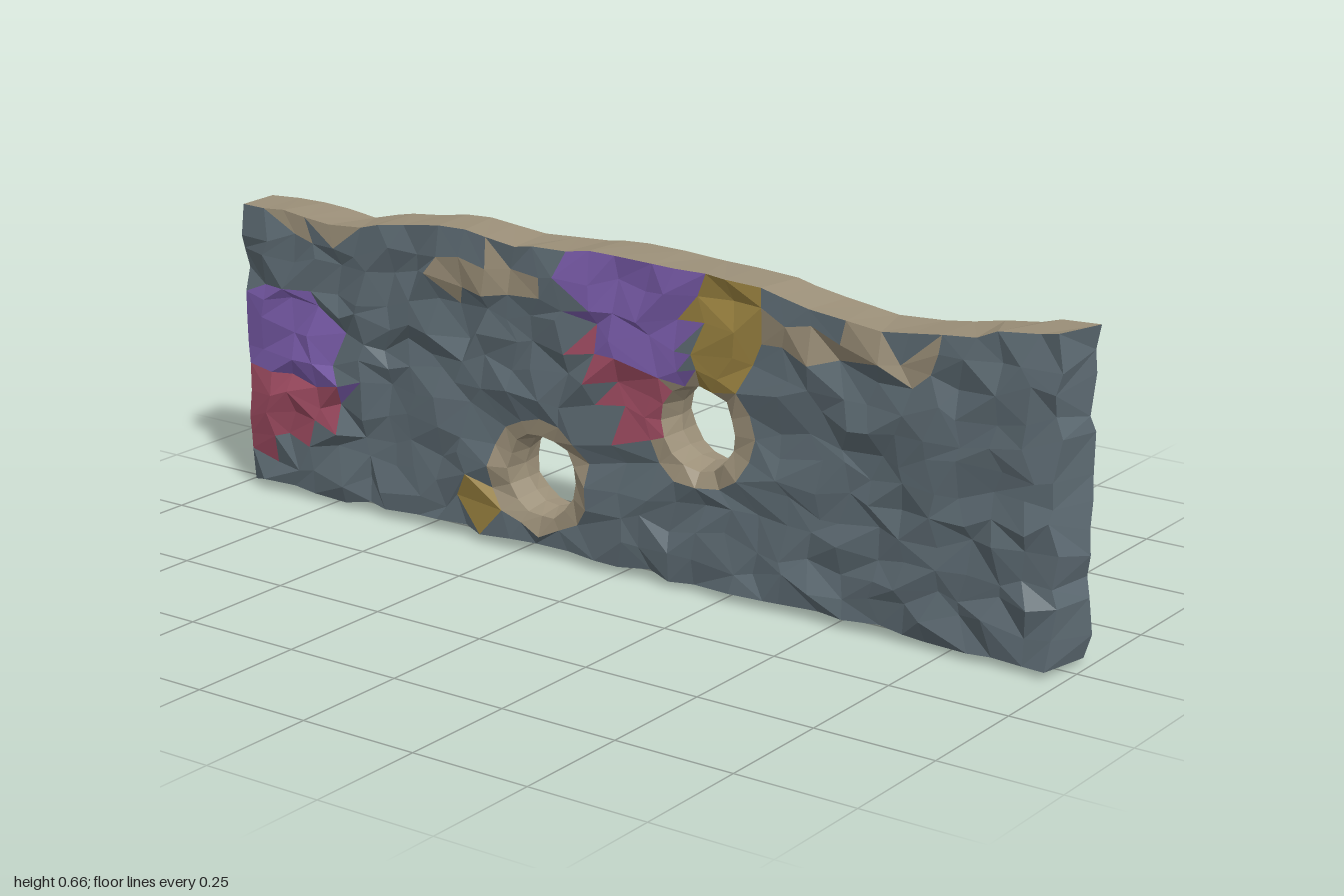
import * as THREE from 'three';

const COLS = 30, ROWS = 12;
const COLORS = {
  slate: 0x5f6d75, tan: 0x9c9079, purple: 0x7a5cab, red: 0xa04c62, gold: 0x9a8240,
};
// Round through-holes, centred on grid vertices
const HOLES = [
  { i: 12, j: 3, x: -0.194, y: 0.17, r: 0.079 },
  { i: 18, j: 6, x: 0.19, y: 0.34, r: 0.079 },
];
// Mineral patches, as x, y outlines; front: true means front face only
const PATCHES = [
  ['purple', [-0.99, 0.28, -0.96, 0.44, -0.77, 0.48, -0.75, 0.36, -0.69, 0.26]],
  ['red', [-1.02, 0.05, -0.98, 0.18, -0.93, 0.29, -0.68, 0.27, -0.70, 0.20, -0.88, 0.11]],
  ['purple', [-0.13, 0.67, -0.06, 0.43, 0.17, 0.42, 0.17, 0.67]],
  ['red', [-0.09, 0.47, 0.01, 0.29, 0.10, 0.31, 0.14, 0.48]],
  ['gold', [0.17, 0.67, 0.18, 0.42, 0.28, 0.43, 0.36, 0.67]],
  ['gold', [-0.38, 0.14, -0.35, 0.02, -0.31, 0.02, -0.31, 0.14]],
  ['gold', [-0.86, 0.48, -0.84, 0.43, -0.79, 0.43, -0.80, 0.48]],
  ['tan', [-0.47, 0.59, -0.42, 0.50, -0.34, 0.55, -0.24, 0.51, -0.15, 0.60, -0.34, 0.61], true],
  ['tan', [0.33, 0.59, 0.38, 0.51, 0.55, 0.54, 0.68, 0.50, 0.75, 0.58, 0.45, 0.59], true],
  ['tan', [-0.92, 0.63, -0.86, 0.58, -0.70, 0.59, -0.72, 0.63], true],
];
// Wavy crest line, x then height
const CREST = [-1, 0.615, -0.85, 0.622, -0.72, 0.608, -0.58, 0.63, -0.42, 0.655, -0.25, 0.637,
  -0.05, 0.653, 0.3, 0.645, 0.45, 0.622, 0.6, 0.604, 0.8, 0.627, 0.88, 0.648, 1, 0.657];

let seed = 11;
function rand(amount) {
  seed = (seed * 16807) % 2147483647;
  return (seed / 2147483647 * 2 - 1) * amount;
}

function crest(x) {
  for (let k = 0; k < CREST.length - 2; k += 2) {
    if (x <= CREST[k + 2]) {
      const t = (x - CREST[k]) / (CREST[k + 2] - CREST[k]);
      return THREE.MathUtils.lerp(CREST[k + 1], CREST[k + 3], t);
    }
  }
  return CREST[CREST.length - 1];
}

function inside(p, poly) {
  let hit = false;
  for (let a = 0, b = poly.length - 2; a < poly.length; b = a, a += 2) {
    const [x1, y1, x2, y2] = [poly[a], poly[a + 1], poly[b], poly[b + 1]];
    if ((y1 > p.y) !== (y2 > p.y) && p.x < (x2 - x1) * (p.y - y1) / (y2 - y1) + x1) hit = !hit;
  }
  return hit;
}

function patchColor(p, front, base) {
  const found = PATCHES.find(([, poly, frontOnly]) => (front || !frontOnly) && inside(p, poly));
  return found ? found[0] : base;
}

// The 16 grid vertices around a hole, as [i, j, angle]
function rim(hole) {
  return Array.from({ length: 16 }, (_, k) => {
    const a = k * Math.PI / 8;
    const step = v => THREE.MathUtils.clamp(Math.round(v * 2 * Math.SQRT2), -2, 2);
    return [hole.i + step(Math.cos(a)), hole.j + step(Math.sin(a)), a];
  });
}

// Jittered vertex grid of one broad face; side is 1 for front, -1 for back
function faceGrid(side) {
  const grid = [];
  const depth = side > 0 ? 0.06 : 0.065;
  for (let i = 0; i <= COLS; i++) {
    grid.push([]);
    for (let j = 0; j <= ROWS; j++) {
      const endEdge = i === 0 || i === COLS, rowEdge = j === 0 || j === ROWS;
      let x = -0.98 + 1.96 * i / COLS;
      const base = side > 0 ? 0.022 : 0.01;
      const y = THREE.MathUtils.lerp(base, crest(x), j / ROWS)
        + rand(j === 0 ? 0.008 : rowEdge ? 0.003 : 0.019);
      if (endEdge) x = Math.sign(x) * ((side > 0 ? 0.972 : 0.986) + rand(0.009));
      else x += rand(0.02);
      // Shallow swells under the fine chipping; edges are worn back
      const swell = 0.004 * Math.sin(7 * x + 4 * y + side);
      let z = depth + swell + rand(0.012);
      if (endEdge) z = 0.055 + rand(0.009);
      else if (j === ROWS) z = 0.058 + swell + rand(0.004);
      else if (j === 0) z = 0.058 + rand(0.008);
      grid[i].push(new THREE.Vector3(x, Math.max(y, 0), side * z));
    }
  }
  // Pull the vertices around each hole into a rough collar
  for (const h of HOLES) {
    for (const [i, j, a] of rim(h)) {
      const r = 0.126 + rand(0.009);
      grid[i][j].set(h.x + r * Math.cos(a), h.y + r * 0.95 * Math.sin(a), side * (depth + rand(0.009)));
    }
  }
  return grid;
}

export function createModel() {
  const group = new THREE.Group();
  group.name = 'rockSlab';
  const buckets = {};
  for (const name in COLORS) buckets[name] = [];

  function tri(a, b, c, color) {
    for (const p of [a, b, c]) buckets[color].push(p.x, p.y, p.z);
  }
  function quad(a, b, c, d, color, flip = false) {
    const pick = typeof color === 'function' ? color : () => color;
    const add = (p, q, r) => {
      const mid = new THREE.Vector3().add(p).add(q).add(r).divideScalar(3);
      if (flip) tri(p, r, q, pick(mid));
      else tri(p, q, r, pick(mid));
    };
    if (rand(1) > 0) { add(a, b, c); add(a, c, d); }
    else { add(a, b, d); add(b, c, d); }
  }

  const front = faceGrid(1), back = faceGrid(-1);
  // Narrowest ring of each hole, halfway through the slab
  const throats = HOLES.map(h => rim(h).map(([, , a]) => new THREE.Vector3(
    h.x + h.r * Math.cos(a), h.y + h.r * Math.sin(a), rand(0.006))));

  // Broad faces, with a collar and a flared wall at each hole
  for (const [grid, side] of [[front, 1], [back, -1]]) {
    const faceColor = p => patchColor(p, side > 0, 'slate');
    for (let i = 0; i < COLS; i++) {
      for (let j = 0; j < ROWS; j++) {
        if (HOLES.some(h => Math.abs(i + 0.5 - h.i) < 2 && Math.abs(j + 0.5 - h.j) < 2)) continue;
        quad(grid[i][j], grid[i + 1][j], grid[i + 1][j + 1], grid[i][j + 1], faceColor, side < 0);
      }
    }
    HOLES.forEach((h, m) => {
      const outer = rim(h);
      const mouth = outer.map(([, , a]) => {
        const r = h.r + 0.008 + rand(0.004);
        return new THREE.Vector3(h.x + r * Math.cos(a), h.y + r * Math.sin(a), side * (0.053 + rand(0.005)));
      });
      const collarColor = p => side > 0 ? patchColor(p, true, 'tan') : 'tan';
      for (let k = 0; k < 16; k++) {
        const n = (k + 1) % 16;
        const p = grid[outer[k][0]][outer[k][1]], q = grid[outer[n][0]][outer[n][1]];
        quad(mouth[k], p, q, mouth[n], collarColor, side < 0);
        quad(throats[m][k], mouth[k], mouth[n], throats[m][n], 'tan', side < 0);
      }
    });
  }

  // Tan crest, slate underside and ends
  for (let i = 0; i < COLS; i++) {
    quad(front[i][ROWS], front[i + 1][ROWS], back[i + 1][ROWS], back[i][ROWS], 'tan');
    quad(front[i][0], front[i + 1][0], back[i + 1][0], back[i][0], 'slate', true);
  }
  for (let j = 0; j < ROWS; j++) {
    quad(front[COLS][j], back[COLS][j], back[COLS][j + 1], front[COLS][j + 1], 'slate');
    quad(front[0][j], back[0][j], back[0][j + 1], front[0][j + 1], 'slate', true);
  }

  // One mesh per kind of stone
  for (const name in COLORS) {
    const geometry = new THREE.BufferGeometry();
    geometry.setAttribute('position', new THREE.Float32BufferAttribute(buckets[name], 3));
    geometry.computeVertexNormals();
    const material = new THREE.MeshStandardMaterial({ color: COLORS[name], flatShading: true });
    const mesh = new THREE.Mesh(geometry, material);
    mesh.name = name + 'Stone';
    group.add(mesh);
  }
  return group;
}
